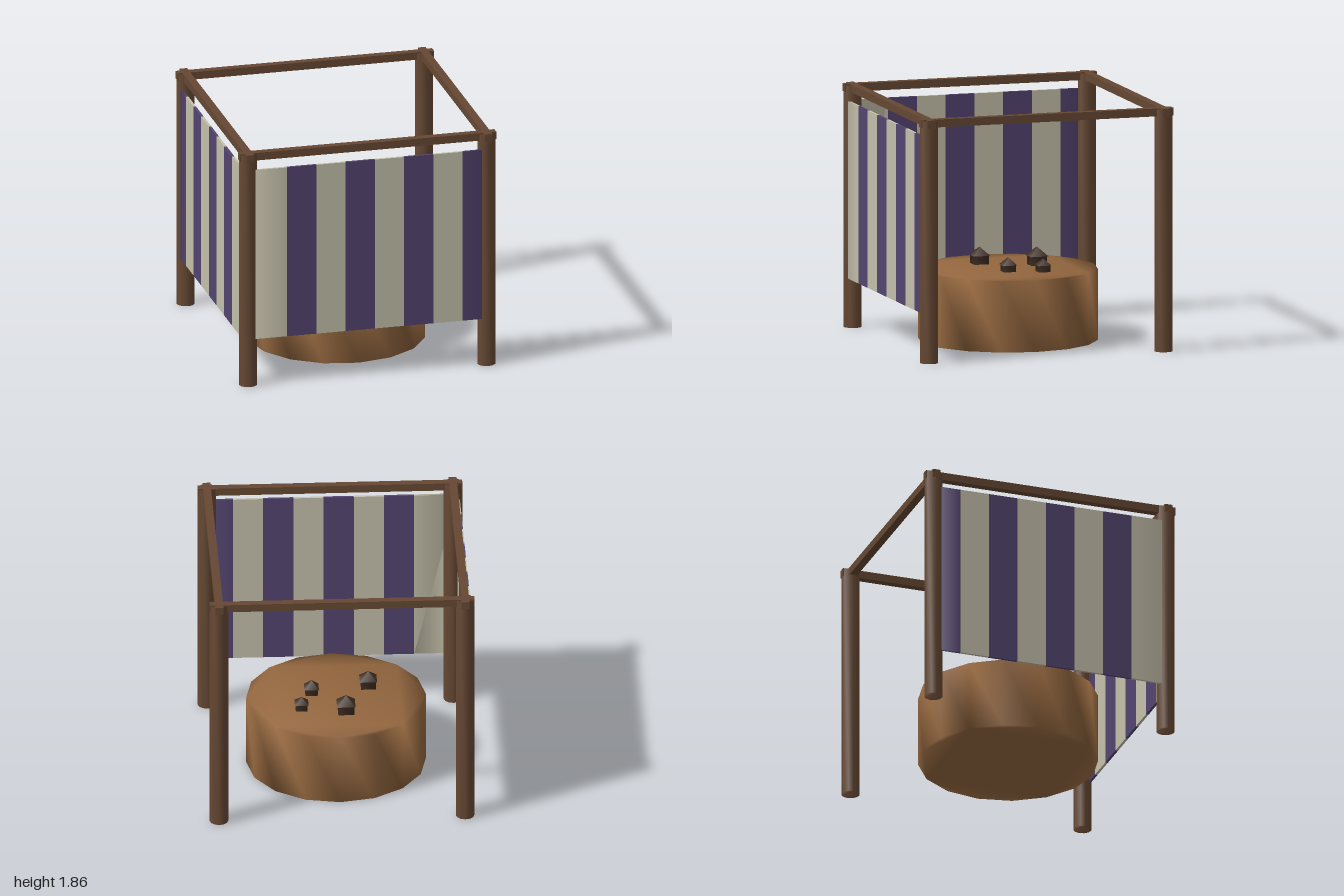
import * as THREE from 'three';
import { mergeVertices } from 'three/addons/utils/BufferGeometryUtils.js';

const mat = (color, extra = {}) => new THREE.MeshStandardMaterial({ color, ...extra });
const wood = mat(0x664833);
const drumWood = mat(0x94673f);
const darkWood = mat(0x3a2a1f, { side: THREE.DoubleSide });
const cream = mat(0xc4c0ab);
const purple = mat(0x53446f);

// Upright prism whose shading runs smoothly over the rims
function smoothPrism(radius, height, sides) {
  const points = [];
  for (let i = 0; i < sides; i++) {
    const a = (i / sides) * Math.PI * 2;
    points.push(new THREE.Vector2(radius * Math.cos(a), radius * Math.sin(a)));
  }
  let geo = new THREE.ExtrudeGeometry(new THREE.Shape(points), { depth: height, bevelEnabled: false });
  geo.rotateX(-Math.PI / 2);
  geo.deleteAttribute('uv');
  geo.deleteAttribute('normal');
  geo = mergeVertices(geo);
  geo.computeVertexNormals();
  return geo;
}

function add(parent, name, geometry, material, x = 0, y = 0, z = 0) {
  const mesh = new THREE.Mesh(geometry, material);
  mesh.name = name;
  mesh.position.set(x, y, z);
  parent.add(mesh);
  return mesh;
}

// Striped cloth along x; the closed corner is at -x and the free end at +x
function clothPanel(name, inward) {
  const panel = new THREE.Group();
  panel.name = name;
  const edges = [-0.97];
  for (let i = 0; i < 7; i++) edges.push(-0.638 + i * 0.2283);
  edges.push(0.95);
  for (let i = 0; i < edges.length - 1; i++) {
    const width = edges[i + 1] - edges[i];
    const geo = new THREE.BoxGeometry(width, 1.355, 0.02);
    const pos = geo.attributes.position;
    const nor = geo.attributes.normal;
    // Round the shading at the two ends of the cloth
    for (let v = 0; v < pos.count; v++) {
      const right = pos.getX(v) > 0;
      if (i === 7 && right) nor.setXYZ(v, 0.75, 0, 0.66 * Math.sign(pos.getZ(v)));
      if (i === 0 && !right) nor.setXYZ(v, -0.7, 0, 0.7 * inward);
    }
    add(panel, 'stripe', geo, i % 2 ? purple : cream, (edges[i] + edges[i + 1]) / 2, 1.0525, 0.97);
  }
  return panel;
}

// Small hut: square body, overhanging pyramid roof
function hut(half, eave, peak) {
  const r = half * Math.SQRT2;
  const profile = [[r * 0.86, 0], [r * 0.86, eave], [r, eave], [0, peak]];
  const geo = new THREE.LatheGeometry(profile.map(([x, y]) => new THREE.Vector2(x, y)), 4);
  geo.rotateY(Math.PI / 4);
  return geo;
}

export function createModel() {
  const model = new THREE.Group();
  model.name = 'canopyWithTable';

  // Posts and top beams
  const postGeo = smoothPrism(0.07, 1.85, 12);
  for (const s of [-1, 1]) {
    for (const t of [-1, 1]) add(model, 'post', postGeo, wood, s * 0.93, 0, t * 0.93);
    add(model, 'crossBeam', new THREE.BoxGeometry(2, 0.06, 0.06), wood, 0, 1.83, s * 0.93);
    add(model, 'sideBeam', new THREE.BoxGeometry(0.06, 0.06, 2), wood, s * 0.93, 1.83, 0);
  }

  // Two cloth walls meeting at the front corner
  model.add(clothPanel('frontCloth', 1));
  const side = clothPanel('sideCloth', -1);
  side.rotation.y = Math.PI / 2;
  // Hung on the -x side, with its corner end to the front
  side.position.x = -1.94;
  model.add(side);

  // Round table block
  add(model, 'drum', smoothPrism(0.68, 0.545, 16), drumWood);

  // Huts on the table: x, z, half width, eave height, peak height
  const huts = [
    [-0.063, -0.25, 0.07, 0.07, 0.14],
    [0.27, -0.19, 0.052, 0.05, 0.1],
    [0.183, 0.058, 0.055, 0.05, 0.11],
    [-0.25, 0.145, 0.065, 0.065, 0.13],
  ];
  for (const [x, z, half, eave, peak] of huts) {
    add(model, 'hut', hut(half, eave, peak), darkWood, x, 0.545, z);
  }
  return model;
}
